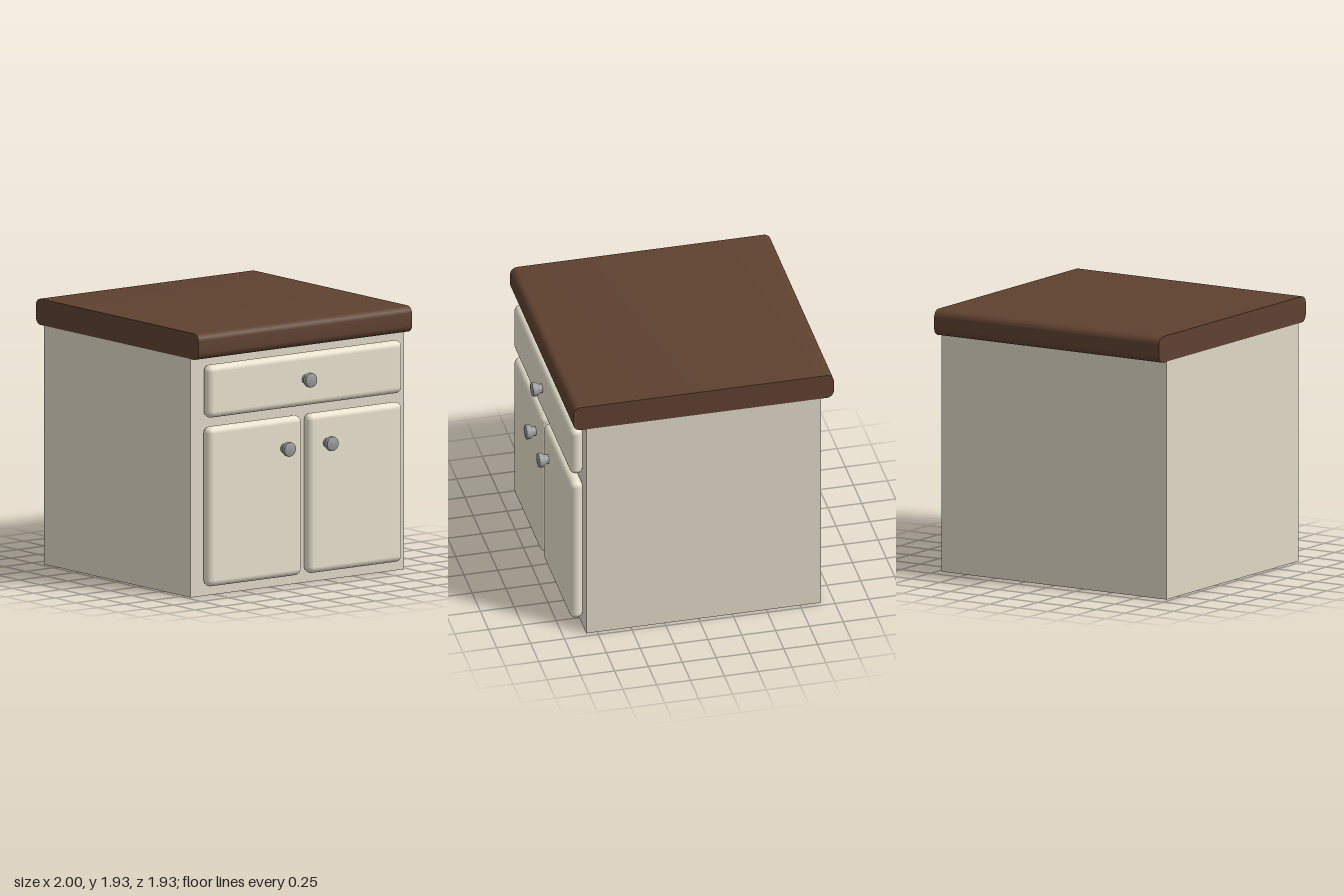
import * as THREE from 'three';
import { RoundedBoxGeometry } from 'three/addons/geometries/RoundedBoxGeometry.js';
import { toCreasedNormals } from 'three/addons/utils/BufferGeometryUtils.js';

const cream = new THREE.MeshStandardMaterial({ color: 0xded8c6 });
const panelCream = new THREE.MeshStandardMaterial({ color: 0xe6e0cc });
const wood = new THREE.MeshStandardMaterial({ color: 0x5e4130 });
const metal = new THREE.MeshStandardMaterial({ color: 0x9a9a9a });

const FACE_X = 0.83; // plane of the cabinet face that carries the doors
const PANEL = 0.095; // door and drawer thickness
const HALF_Z = 0.965;

function add(group, name, geometry, material, x = 0, y = 0, z = 0) {
  const mesh = new THREE.Mesh(geometry, material);
  mesh.name = name;
  mesh.position.set(x, y, z);
  group.add(mesh);
  return mesh;
}

// Rectangle outline with rounded corners
function roundedRect(x0, y0, x1, y1, r) {
  const s = new THREE.Shape();
  s.absarc(x1 - r, y0 + r, r, -Math.PI / 2, 0);
  s.absarc(x1 - r, y1 - r, r, 0, Math.PI / 2);
  s.absarc(x0 + r, y1 - r, r, Math.PI / 2, Math.PI);
  s.absarc(x0 + r, y0 + r, r, Math.PI, Math.PI * 1.5);
  s.closePath();
  return s;
}

// Pillow-edged panel fixed to the cabinet face
function addPanel(group, name, y0, y1, z0, z1) {
  const geo = new RoundedBoxGeometry(PANEL, y1 - y0, z1 - z0, 6, 0.047);
  add(group, name, geo, panelCream, FACE_X + PANEL / 2, (y0 + y1) / 2, (z0 + z1) / 2);
}

// Turned knob: narrow neck flaring to a flat head, axis along +x
function knobGeometry() {
  const profile = [
    [0, -0.01], [0.033, -0.01], [0.033, 0.006], [0.034, 0.018], [0.043, 0.032],
    [0.05, 0.04], [0.053, 0.048], [0.053, 0.066], [0.051, 0.073], [0.047, 0.075], [0, 0.075],
  ].map(([r, h]) => new THREE.Vector2(r, h));
  const geo = new THREE.LatheGeometry(profile, 32);
  geo.rotateZ(-Math.PI / 2);
  return toCreasedNormals(geo, 0.7);
}

export function createModel() {
  const model = new THREE.Group();
  model.name = 'cabinet';

  // Carcass
  add(model, 'cabinetBody', new THREE.BoxGeometry(1.735, 1.74, HALF_Z * 2), cream, -0.0375, 0.87, 0);

  // Countertop with rounded long edges and flat ends
  const top = new THREE.ExtrudeGeometry(roundedRect(-1, 1.74, 0.925, 1.93, 0.055), {
    depth: HALF_Z * 2, bevelEnabled: false, curveSegments: 10,
  });
  add(model, 'countertop', toCreasedNormals(top, 0.6), wood, 0, 0, -HALF_Z);

  // Drawer and pair of doors
  addPanel(model, 'drawerFront', 1.305, 1.69, -0.89, 0.87);
  addPanel(model, 'leftDoor', 0.075, 1.24, 0.02, 0.872);
  addPanel(model, 'rightDoor', 0.075, 1.24, -0.89, -0.037);

  // Knobs
  const knob = knobGeometry();
  const knobX = FACE_X + PANEL;
  add(model, 'drawerKnob', knob, metal, knobX, 1.504, 0);
  add(model, 'leftDoorKnob', knob, metal, knobX, 1.02, 0.193);
  add(model, 'rightDoorKnob', knob, metal, knobX, 1.02, -0.193);

  return model;
}
